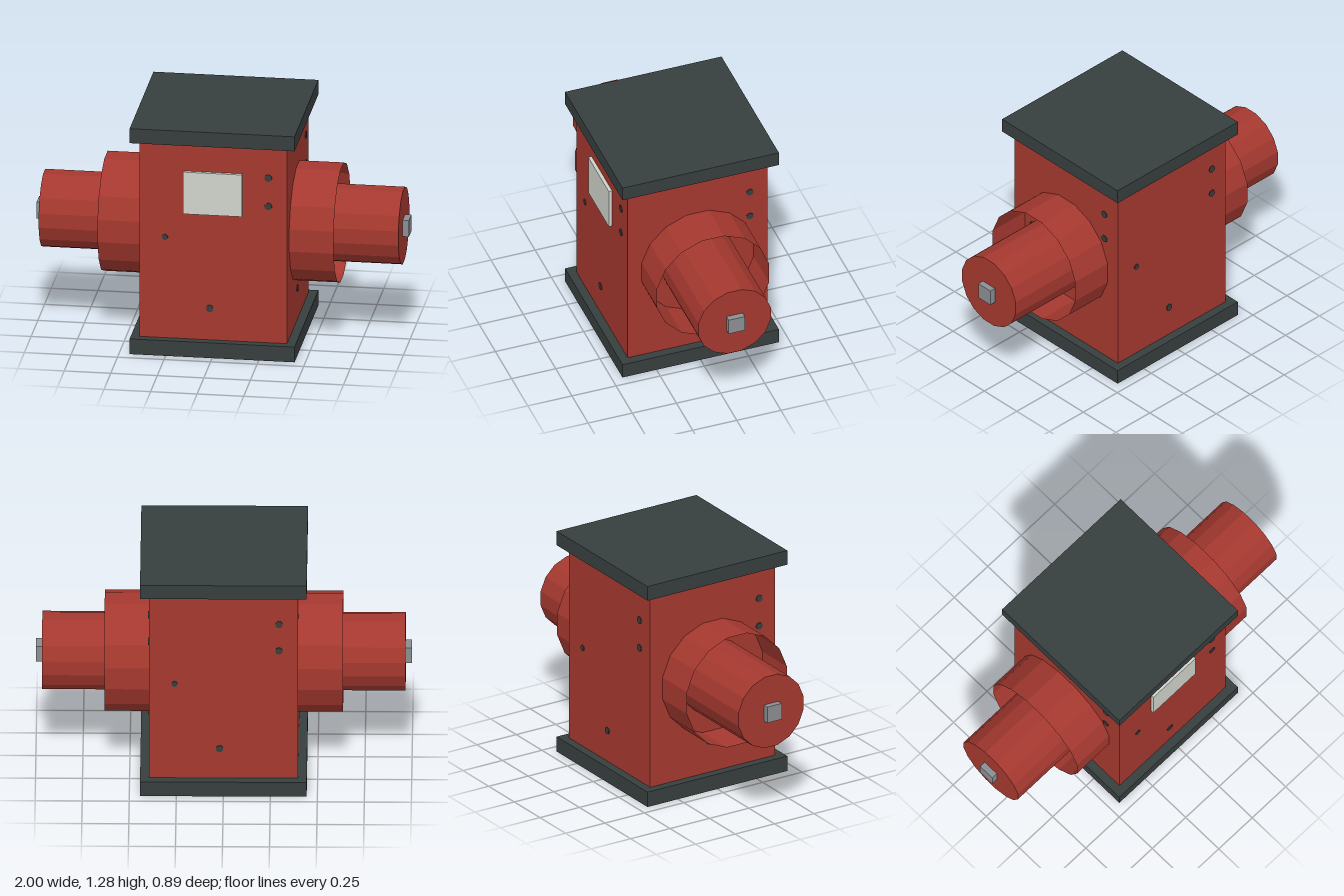
import * as THREE from 'three';

const red = new THREE.MeshStandardMaterial({ color: 0xa4382f });
red.name = 'red paint';
red.side = THREE.DoubleSide;
const dark = new THREE.MeshStandardMaterial({ color: 0x373e3e });
dark.name = 'dark iron';
const pale = new THREE.MeshStandardMaterial({ color: 0xd0d2cb });
pale.name = 'pale plate';
const steel = new THREE.MeshStandardMaterial({ color: 0x8b8e91 });
steel.name = 'steel';

const AXIS_Y = 0.641; // height of the side barrels
const HALF = 0.396; // half width of the body

// Add a named mesh at a position
function add(parent, name, geometry, material, x, y, z) {
  const mesh = new THREE.Mesh(geometry, material);
  mesh.name = name;
  mesh.position.set(x, y, z);
  parent.add(mesh);
  return mesh;
}

// Faceted 16-sided cylinder lying along x, with a flat facet on top
function barrel(radius, length, open) {
  const indexed = new THREE.CylinderGeometry(radius, radius, length, 16, 1, open);
  indexed.rotateY(Math.PI / 16);
  indexed.rotateZ(-Math.PI / 2);
  const g = indexed.toNonIndexed();
  g.computeVertexNormals();
  return g;
}

export function createModel() {
  const model = new THREE.Group();
  model.name = 'gearHousing';

  // Body between two cover plates
  add(model, 'body', new THREE.BoxGeometry(HALF * 2, 1.11, HALF * 2), red, 0, 0.64, 0);
  add(model, 'basePlate', new THREE.BoxGeometry(0.886, 0.086, 0.886), dark, 0, 0.043, 0);
  add(model, 'topPlate', new THREE.BoxGeometry(0.886, 0.082, 0.886), dark, 0, 1.236, 0);

  // Label plate on the front
  add(model, 'labelPlate', new THREE.BoxGeometry(0.317, 0.237, 0.02), pale, -0.003, 0.917, HALF + 0.009);

  // Side barrels: open collar, capped inner barrel, square shaft end
  for (const [side, s] of [['left', 1], ['right', -1]]) {
    const arm = new THREE.Group();
    arm.name = side + 'Arm';
    arm.position.y = AXIS_Y;
    model.add(arm);
    add(arm, 'collar', barrel(0.323, 0.24, true), red, s * 0.514, 0, 0);
    add(arm, 'barrel', barrel(0.209, 0.576, false), red, s * 0.678, 0, 0);
    add(arm, 'shaftEnd', new THREE.BoxGeometry(0.05, 0.092, 0.092), steel, s * 0.975, 0, 0);
  }

  // The same four bolts on each of the four faces: x, y, radius
  const bolts = [[0.295, 1.018, 0.02], [0.295, 0.858, 0.02], [-0.26, 0.656, 0.016], [-0.02, 0.264, 0.02]];
  for (let i = 0; i < 4; i++) {
    const face = new THREE.Group();
    face.name = 'boltSet' + (i + 1);
    face.rotation.y = (i * Math.PI) / 2;
    model.add(face);
    for (const [x, y, r] of bolts) {
      const g = new THREE.CylinderGeometry(r, r, 0.008, 10);
      g.rotateX(Math.PI / 2);
      add(face, 'bolt', g, dark, x, y, HALF + 0.001);
    }
  }

  return model;
}
